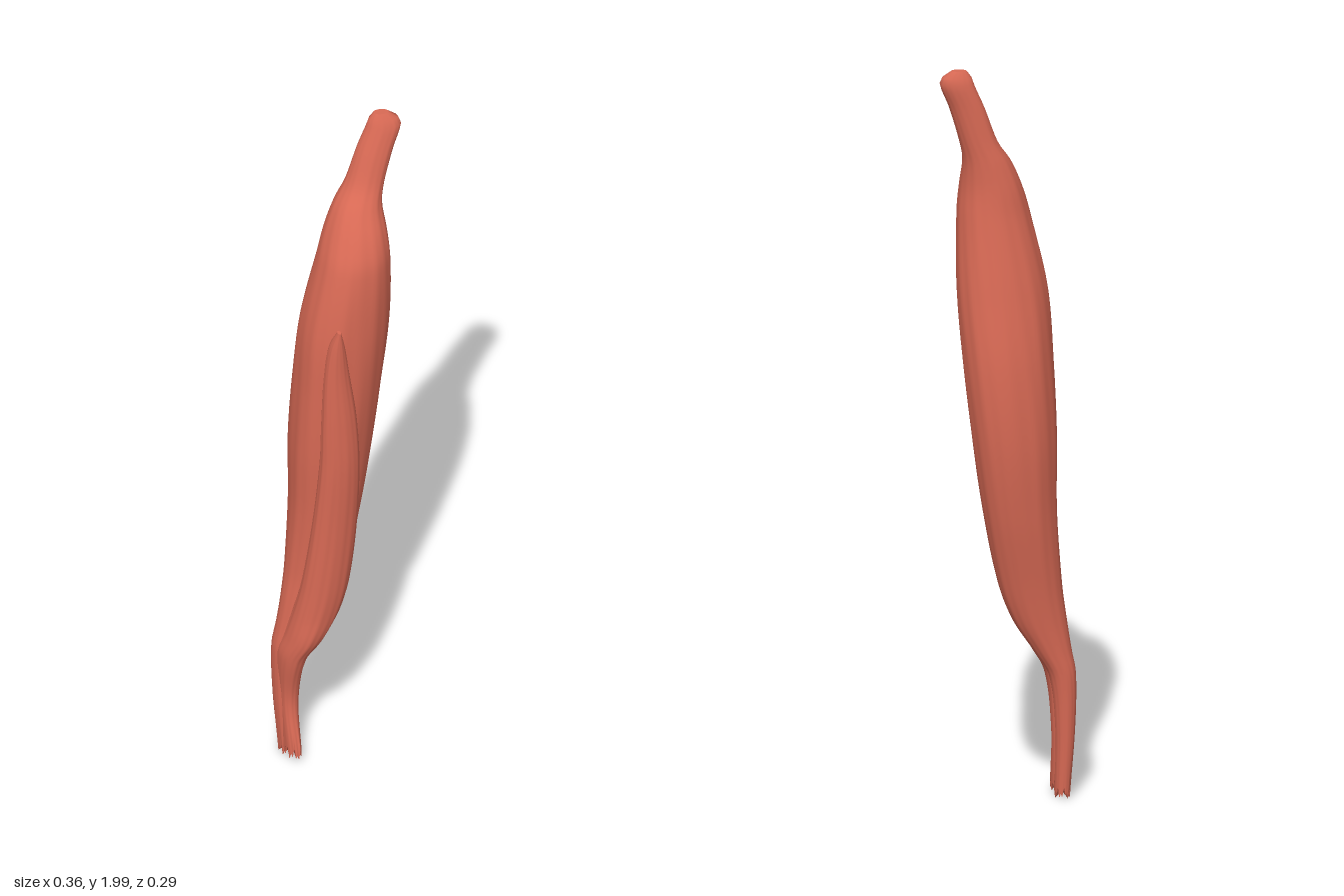
import * as THREE from 'three';

const SIDES = 72, STEPS = 110;

// Smooth interpolation of the section table at height y (rows run bottom to top)
function sectionAt(rows, y) {
  let i = 0;
  while (i < rows.length - 2 && rows[i + 1][0] < y) i++;
  const a = rows[i], b = rows[i + 1], h = b[0] - a[0], t = (y - a[0]) / h;
  const p = rows[Math.max(i - 1, 0)], n = rows[Math.min(i + 2, rows.length - 1)];
  return a.map((v, k) => {
    const m0 = (b[k] - p[k]) / (b[0] - p[0]) * h;
    const m1 = (n[k] - v) / (n[0] - a[0]) * h;
    const t2 = t * t, t3 = t2 * t;
    return (2 * t3 - 3 * t2 + 1) * v + (t3 - 2 * t2 + t) * m0
      + (3 * t2 - 2 * t3) * b[k] + (t3 - t2) * m1;
  });
}

// Loft of rounded sections [y, xMin, xMax, zMin, zMax, skew] with shallow fibre ridges
function fibreLoft(rows, ridge, fray) {
  const pos = [], idx = [];
  const y0 = rows[0][0], y1 = rows[rows.length - 1][0];
  for (let i = 0; i <= STEPS; i++) {
    const t = i / STEPS, y = y0 + (y1 - y0) * t;
    const [, xa, xb, za, zb, skew] = sectionAt(rows, y);
    for (let j = 0; j < SIDES; j++) {
      const q = j / SIDES * Math.PI * 2;
      const round = (v) => Math.sign(v) * Math.pow(Math.abs(v), 0.92);
      const f = 1 - ridge * (1 + 0.5 * Math.sin(9 * q + 4 * y) + 0.5 * Math.sin(17 * q - 3 * y + 2 * Math.sin(2 * y)));
      // torn fibres at the lower end
      const torn = fray * Math.pow(1 - t, 30) * (Math.sin(7 * q) + Math.sin(16 * q + 1));
      pos.push(
        (xa + xb) / 2 + (xb - xa) / 2 * round(Math.cos(q)) * f,
        y + torn,
        (za + zb) / 2 + (zb - za) / 2 * round(Math.sin(q + skew)) * f);
    }
  }
  for (let i = 0; i < STEPS; i++) for (let j = 0; j < SIDES; j++) {
    const a = i * SIDES + j, d = i * SIDES + (j + 1) % SIDES;
    idx.push(a, a + SIDES, d, a + SIDES, d + SIDES, d);
  }
  // end caps with their own vertices, so the rims stay sharp
  for (const [ring, up] of [[0, false], [STEPS, true]]) {
    const first = pos.length / 3, c = [0, 0, 0];
    for (let j = 0; j < SIDES; j++) for (let k = 0; k < 3; k++) {
      const v = pos[(ring * SIDES + j) * 3 + k];
      pos.push(v);
      c[k] += v / SIDES;
    }
    const mid = pos.length / 3;
    pos.push(...c);
    for (let j = 0; j < SIDES; j++) {
      const a = first + j, b = first + (j + 1) % SIDES;
      if (up) idx.push(mid, b, a); else idx.push(mid, a, b);
    }
  }
  const g = new THREE.BufferGeometry();
  g.setAttribute('position', new THREE.Float32BufferAttribute(pos, 3));
  g.setIndex(idx);
  g.computeVertexNormals();
  return g;
}

export function createModel() {
  const group = new THREE.Group();
  const material = new THREE.MeshStandardMaterial({ color: 0xd96a55 });
  const add = (name, geometry) => {
    const mesh = new THREE.Mesh(geometry, material);
    mesh.name = name;
    group.add(mesh);
  };

  // Main belly, narrowing into the upper and lower tendons
  add('muscleBelly', fibreLoft([
    [0.03, -0.170, -0.130, -0.040, 0.020, 0],
    [0.20, -0.182, -0.130, -0.052, 0.015, 0],
    [0.35, -0.184, -0.112, -0.062, 0.020, 0],
    [0.42, -0.172, -0.070, -0.066, 0.025, 0],
    [0.50, -0.160, -0.018, -0.074, 0.035, 0],
    [0.60, -0.147, 0.020, -0.088, 0.045, 0],
    [0.80, -0.135, 0.062, -0.122, 0.072, -0.1],
    [1.00, -0.136, 0.092, -0.143, 0.095, -0.15],
    [1.20, -0.128, 0.114, -0.140, 0.110, -0.15],
    [1.40, -0.114, 0.127, -0.113, 0.116, -0.1],
    [1.60, -0.068, 0.123, -0.083, 0.106, 0],
    [1.68, -0.042, 0.116, -0.076, 0.080, 0.1],
    [1.75, -0.010, 0.112, -0.072, 0.042, 0.1],
    [1.80, 0.024, 0.122, -0.069, 0.018, 0.2],
    [1.90, 0.062, 0.152, -0.067, 0.000, 0.3],
    [1.96, 0.088, 0.176, -0.066, -0.010, 0.3],
    [1.98, 0.094, 0.172, -0.063, -0.017, 0.3],
    [2.00, 0.108, 0.146, -0.054, -0.030, 0.3],
  ], 0.014, 0.008));

  // Slender front head, tapering to a point above and joining the lower tendon
  add('frontStrap', fibreLoft([
    [0.045, -0.166, -0.126, -0.020, 0.060, 0],
    [0.20, -0.172, -0.124, -0.030, 0.032, 0],
    [0.35, -0.180, -0.108, -0.045, 0.066, 0],
    [0.42, -0.166, -0.070, -0.030, 0.092, 0],
    [0.50, -0.150, -0.030, -0.010, 0.102, 0],
    [0.60, -0.134, -0.008, 0.012, 0.112, 0],
    [0.80, -0.114, 0.006, 0.040, 0.127, 0],
    [1.00, -0.102, 0.006, 0.062, 0.142, 0],
    [1.15, -0.100, -0.004, 0.076, 0.144, 0],
    [1.30, -0.095, -0.026, 0.088, 0.142, 0],
    [1.40, -0.084, -0.042, 0.098, 0.144, 0],
    [1.46, -0.067, -0.058, 0.128, 0.144, 0],
  ], 0.02, 0.010));

  return group;
}
